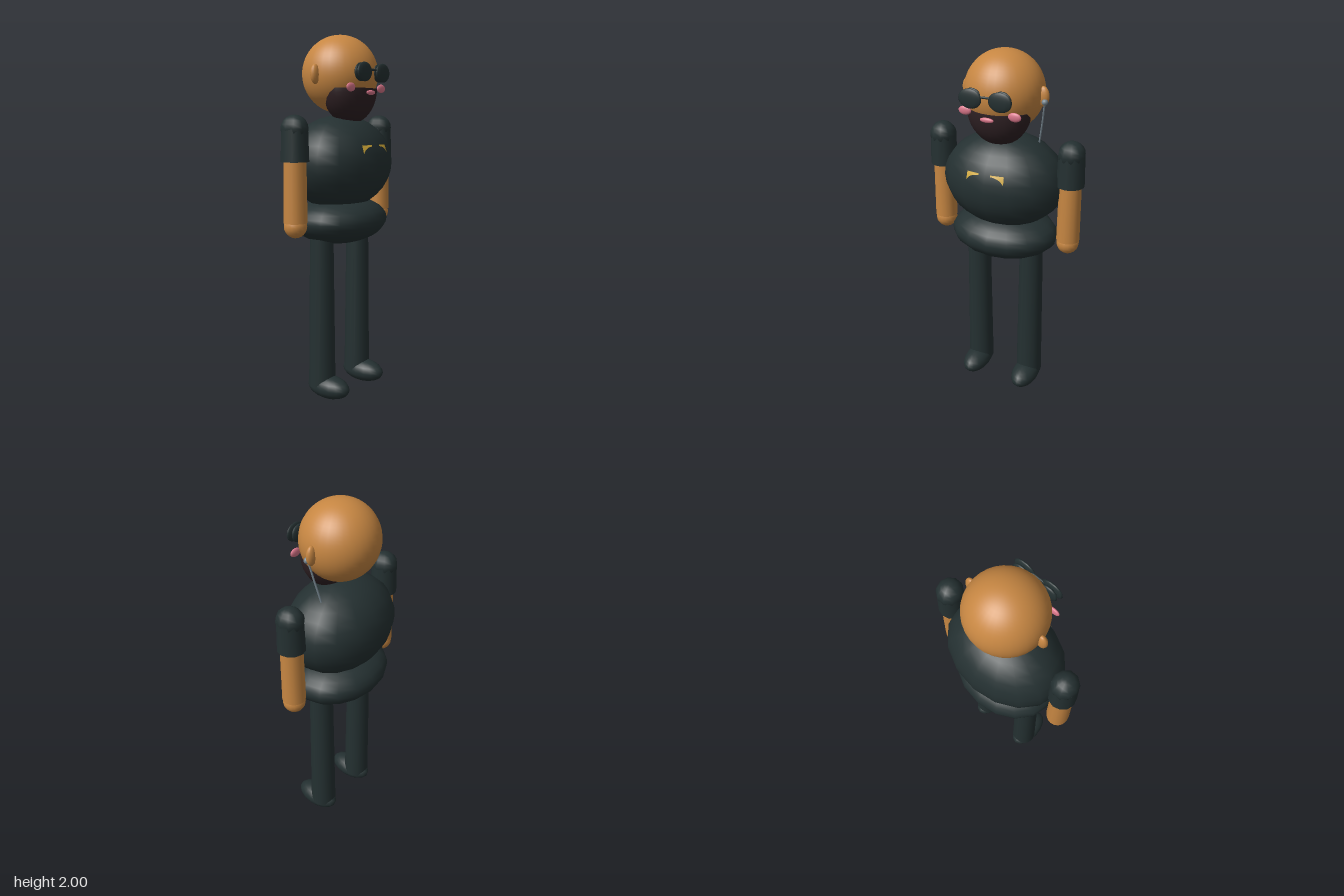
import * as THREE from 'three';

const mat = (name, color, extra = {}) => {
  const m = new THREE.MeshStandardMaterial({ color, ...extra });
  m.name = name;
  return m;
};

export function createModel() {
  const skin = mat('skin', 0xc68642);
  const cloth = mat('dark cloth', 0x243031);
  const hair = mat('beard brown', 0x2e2023, { side: THREE.DoubleSide });
  const pink = mat('pink', 0xd9768a);
  const gold = mat('gold', 0xd0a838, { side: THREE.DoubleSide });
  const grey = mat('earpiece grey', 0x76858f);

  const model = new THREE.Group();
  model.name = 'figure';

  const add = (name, geometry, material, x, y, z) => {
    const mesh = new THREE.Mesh(geometry, material);
    mesh.name = name;
    mesh.position.set(x, y, z);
    model.add(mesh);
    return mesh;
  };
  const ellipsoid = (name, material, [x, y, z], [rx, ry, rz], ws = 16, hs = 12) =>
    add(name, new THREE.SphereGeometry(1, ws, hs).scale(rx, ry, rz), material, x, y, z);
  // Upright tapered cylinder between two heights
  const post = (name, material, x, y0, y1, rBottom, rTop, sides) =>
    add(name, new THREE.CylinderGeometry(rTop, rBottom, y1 - y0, sides), material, x, (y0 + y1) / 2, 0);

  // Body
  const chest = { y: 1.31, rx: 0.345, ry: 0.262, rz: 0.258 };
  ellipsoid('torso', cloth, [0, chest.y, 0], [chest.rx, chest.ry, chest.rz], 16, 16);
  ellipsoid('hips', cloth, [0, 0.993, 0], [0.307, 0.133, 0.239], 16, 16);

  // Head and beard
  ellipsoid('head', skin, [0, 1.79, 0], [0.21, 0.21, 0.207], 32, 32);
  const jaw = new THREE.SphereGeometry(1, 24, 12, 0, Math.PI * 2, Math.PI / 2, Math.PI / 2);
  add('beard', jaw.scale(0.173, 0.19, 0.133), hair, 0, 1.712, 0.067);
  const beardTop = new THREE.CircleGeometry(1, 24).rotateX(-Math.PI / 2).scale(0.173, 1, 0.133);
  add('beardTop', beardTop, hair, 0, 1.712, 0.067);
  ellipsoid('mouth', pink, [0, 1.688, 0.206], [0.038, 0.013, 0.01]);

  // Sunglasses bridge
  const bridge = new THREE.CylinderGeometry(0.006, 0.006, 0.07, 8).rotateZ(Math.PI / 2);
  add('glassesBridge', bridge, cloth, 0, 1.805, 0.222);

  // Half of the chest badge, drawn flat and then laid on the torso
  const badge = new THREE.Shape();
  badge.moveTo(0.033, 1.413);
  badge.lineTo(0.104, 1.412);
  badge.lineTo(0.106, 1.368);
  badge.quadraticCurveTo(0.085, 1.402, 0.033, 1.405);
  const badgeGeometry = new THREE.ShapeGeometry(badge, 8);
  const p = badgeGeometry.attributes.position;
  for (let i = 0; i < p.count; i++) {
    const u = p.getX(i) / chest.rx, v = (p.getY(i) - chest.y) / chest.ry;
    p.setZ(i, chest.rz * Math.sqrt(1 - u * u - v * v) + 0.002);
  }
  badgeGeometry.computeVertexNormals();

  // Paired parts
  for (const [side, s] of [['left', 1], ['right', -1]]) {
    ellipsoid(`${side}Ear`, skin, [s * 0.213, 1.782, 0], [0.032, 0.052, 0.021]);
    ellipsoid(`${side}LensFront`, cloth, [s * 0.082, 1.792, 0.225], [0.064, 0.05, 0.013], 12, 12);
    ellipsoid(`${side}LensBack`, cloth, [s * 0.082, 1.792, 0.2], [0.052, 0.048, 0.015], 12, 12);
    ellipsoid(`${side}Cheek`, pink, [s * 0.138, 1.713, 0.177], [0.036, 0.023, 0.011]);

    ellipsoid(`${side}Shoulder`, cloth, [s * 0.378, 1.5, 0], [0.072, 0.072, 0.075], 10, 10);
    post(`${side}Sleeve`, cloth, s * 0.378, 1.332, 1.505, 0.075, 0.07, 12);
    post(`${side}Forearm`, skin, s * 0.378, 1.015, 1.36, 0.063, 0.059, 16);
    ellipsoid(`${side}Hand`, skin, [s * 0.378, 0.996, 0], [0.061, 0.061, 0.061]);

    post(`${side}Leg`, cloth, s * 0.164, 0.065, 0.98, 0.075, 0.064, 16);
    ellipsoid(`${side}Foot`, cloth, [s * 0.164, 0.064, 0.046], [0.076, 0.064, 0.136]);

    add(`${side}Badge`, badgeGeometry, gold, 0, 0, 0).scale.x = s;
  }

  // Earpiece and its wire on the left ear
  ellipsoid('earpiece', grey, [0.228, 1.758, 0.016], [0.016, 0.016, 0.016]);
  const wire = new THREE.CatmullRomCurve3([
    new THREE.Vector3(0.226, 1.755, 0.012),
    new THREE.Vector3(0.207, 1.645, -0.01),
    new THREE.Vector3(0.183, 1.52, -0.032),
  ]);
  add('earpieceWire', new THREE.TubeGeometry(wire, 12, 0.005, 8), grey, 0, 0, 0);

  return model;
}
